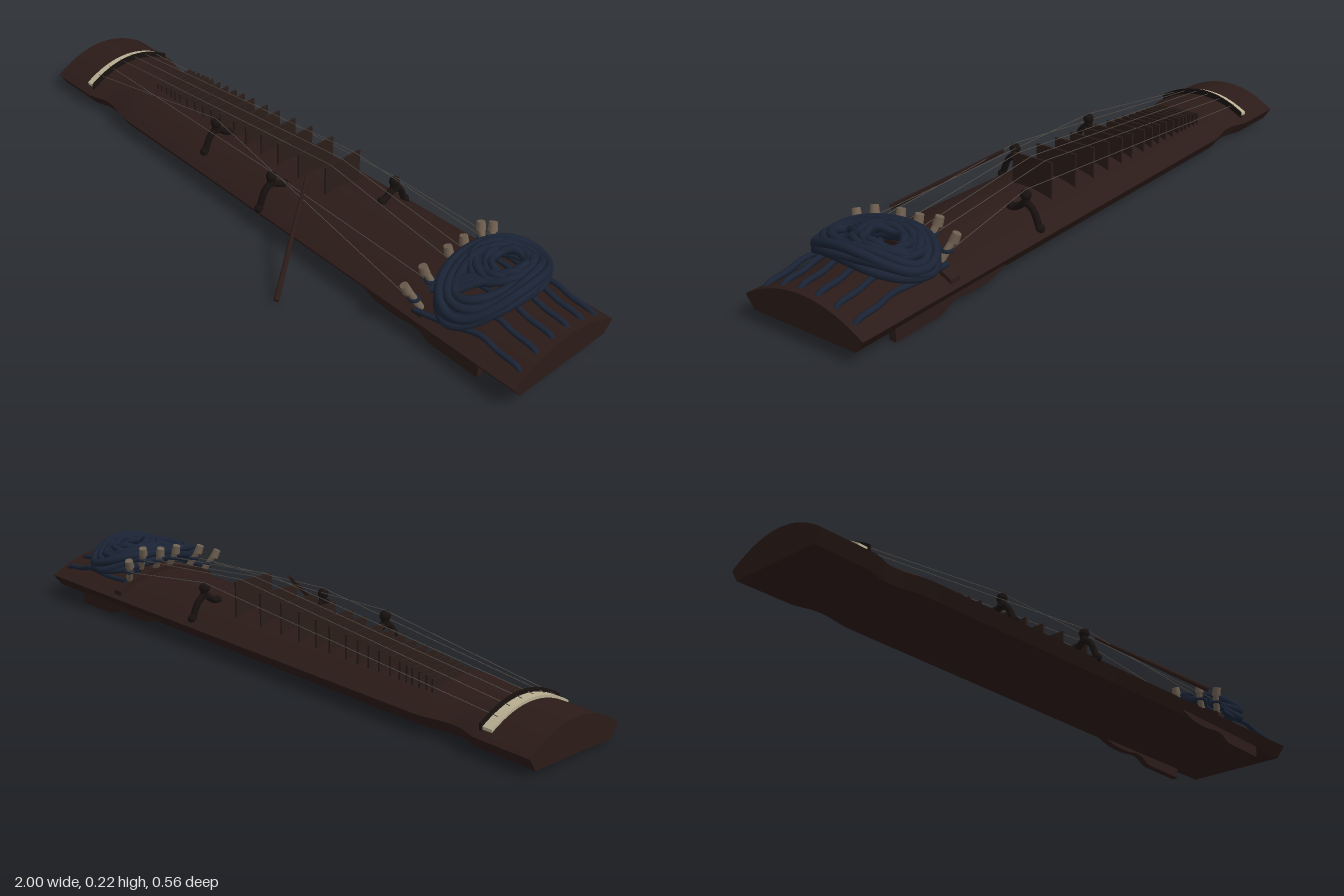
import * as THREE from 'three';
import { toCreasedNormals } from 'three/addons/utils/BufferGeometryUtils.js';

const V = (x, y, z) => new THREE.Vector3(x, y, z);
const paint = (color) => new THREE.MeshStandardMaterial({ color, side: THREE.DoubleSide });
const MAT = {
  wood: paint(0x2b1b18), dark: paint(0x17110f), fret: paint(0x2a1d18),
  ivory: paint(0xb8ae92), peg: paint(0x6e5f50), cord: paint(0x1a2334), string: paint(0x55504a),
};
const CZ = -0.084; // centre line of the soundboard

// Body measures along the length
const baseY = (x) => 0.01 + 0.0125 * (x + 1);
function halfWidth(x) {
  const w = 0.17 + 0.0275 * Math.max(0, (x + 0.64) / 1.64);
  const neck = THREE.MathUtils.smoothstep(x, -0.83, -0.76) * (1 - THREE.MathUtils.smoothstep(x, -0.74, -0.63));
  return w - 0.02 * neck;
}
function domeY(x, z) {
  const t = Math.min(1, Math.abs(z - CZ) / halfWidth(x));
  return baseY(x) + 0.036 + 0.06 * (1 - t * t);
}

// Skin a row of closed cross-sections and cap both ends
function loft(rings) {
  const pos = [];
  const tri = (...p) => p.forEach((v) => pos.push(v.x, v.y, v.z));
  const n = rings[0].length;
  for (let i = 0; i < rings.length - 1; i++) {
    for (let j = 0; j < n; j++) {
      const k = (j + 1) % n;
      const [a, b, c, d] = [rings[i][j], rings[i][k], rings[i + 1][k], rings[i + 1][j]];
      tri(a, d, b);
      tri(b, d, c);
    }
  }
  const cap = (ring, flip) => {
    const c = ring.reduce((s, v) => s.add(v), V(0, 0, 0)).divideScalar(n);
    ring.forEach((v, j) => (flip ? tri(c, ring[(j + 1) % n], v) : tri(c, v, ring[(j + 1) % n])));
  };
  cap(rings[0], false);
  cap(rings[rings.length - 1], true);
  const g = new THREE.BufferGeometry();
  g.setAttribute('position', new THREE.Float32BufferAttribute(pos, 3));
  return toCreasedNormals(g, 0.5);
}

export function createModel() {
  const model = new THREE.Group();
  const add = (name, geo, mat, parent = model) => {
    const m = new THREE.Mesh(geo, mat);
    m.name = name;
    parent.add(m);
    return m;
  };
  const group = (name) => {
    const g = new THREE.Group();
    g.name = name;
    model.add(g);
    return g;
  };
  // Straight round bar between two points
  const rod = (name, a, b, r0, r1, mat, parent, sides = 12) => {
    const m = add(name, new THREE.CylinderGeometry(r1, r0, a.distanceTo(b), sides), mat, parent);
    m.position.copy(a).lerp(b, 0.5);
    m.quaternion.setFromUnitVectors(V(0, 1, 0), b.clone().sub(a).normalize());
    return m;
  };
  const tube = (name, pts, r, mat, parent, closed = false, seg = 48, sides = 8) =>
    add(name, new THREE.TubeGeometry(new THREE.CatmullRomCurve3(pts, closed), seg, r, sides, closed), mat, parent);
  // Outline of [z, y] points given thickness along x
  const slab = (name, pts, x0, depth, mat, parent) => {
    const s = new THREE.Shape(pts.map(([z, y]) => new THREE.Vector2(-z, y)));
    const g = new THREE.ExtrudeGeometry(s, { depth, bevelEnabled: false });
    g.rotateY(Math.PI / 2).translate(x0, 0, 0);
    return add(name, toCreasedNormals(g, 0.5), mat, parent);
  };
  // Strip that follows the dome across the width
  const arch = (name, x0, depth, height, half, mat) => {
    const top = [], under = [];
    for (let i = 0; i <= 16; i++) {
      const z = CZ + half * (1 - i / 8);
      top.push([z, domeY(x0, z) + height]);
      under.unshift([z, domeY(x0, z) - 0.008]);
    }
    return slab(name, [...top, ...under], x0, depth, mat);
  };

  // Long domed body with a pinched neck
  const rings = [];
  for (let i = 0; i <= 80; i++) {
    const x = -1 + i / 40, w = halfWidth(x), y = baseY(x);
    const ring = [V(x, y, CZ + w * 0.86)];
    for (let j = 0; j <= 20; j++) {
      const z = CZ + w * (1 - j / 10);
      ring.push(V(x, domeY(x, z), z));
    }
    ring.push(V(x, y, CZ - w * 0.86));
    rings.push(ring);
  }
  add('body', loft(rings), MAT.wood);

  // Scalloped feet under both edges
  const foot = new THREE.Shape();
  foot.moveTo(0.44, 0.04);
  foot.bezierCurveTo(0.5, 0.02, 0.5, 0.018, 0.56, 0.016);
  foot.bezierCurveTo(0.62, 0.016, 0.61, 0.026, 0.65, 0.022);
  foot.bezierCurveTo(0.69, 0.016, 0.67, 0.001, 0.72, 0.001);
  foot.lineTo(0.865, 0);
  foot.lineTo(0.865, 0.04);
  for (const side of [1, -1]) {
    const g = new THREE.ExtrudeGeometry(foot, { depth: 0.022, bevelEnabled: false });
    add('foot', g.translate(0, 0, CZ + side * 0.16 - 0.011), MAT.wood);
  }

  // Bridges at the two ends of the strings
  arch('endBridge', -0.865, 0.03, 0.008, 0.146, MAT.ivory);
  arch('endBridgeEdge', -0.834, 0.006, 0.018, 0.15, MAT.dark);
  arch('cordBridge', 0.635, 0.035, 0.014, 0.178, MAT.wood);

  // Tall flat frets growing toward the middle
  const frets = group('frets');
  const fretX = [-0.63, -0.61, -0.585, -0.56, -0.54, -0.515, -0.48, -0.44, -0.4, -0.36, -0.315,
    -0.25, -0.195, -0.125, -0.05, 0.04, 0.152];
  const fretTop = (x) => 0.125 + 0.086 * Math.pow((x + 0.63) / 0.782, 0.85);
  for (const x of fretX) {
    const pts = [[-0.05, fretTop(x)], [-0.187, fretTop(x)]];
    for (let i = 0; i <= 6; i++) {
      const z = -0.187 + (0.137 * i) / 6;
      pts.push([z, domeY(x, z) - 0.004]);
    }
    slab('fret', pts, x - 0.003, 0.006, MAT.fret, frets);
  }

  // Forked movable bridges
  const movable = [[-0.28, -0.005, 0.185], [0.025, 0.042, 0.173], [0.285, -0.198, 0.18]];
  for (const [x, z, top] of movable) {
    const g = group('movableBridge');
    for (const s of [1, -1]) {
      const fz = z + s * 0.048;
      tube('leg', [V(x, domeY(x, fz), fz), V(x, (domeY(x, z) + top) / 2 - 0.012, z + s * 0.024),
        V(x, top - 0.035, z)], 0.01, MAT.dark, g, false, 12);
      add('toe', new THREE.SphereGeometry(0.014, 12, 8), MAT.dark, g).position.set(x, domeY(x, fz) + 0.003, fz);
    }
    rod('stem', V(x, top - 0.045, z), V(x, top - 0.01, z), 0.013, 0.011, MAT.dark, g);
    add('head', new THREE.SphereGeometry(0.016, 14, 10), MAT.dark, g).position.set(x, top - 0.015, z);
  }

  // Plucking stick leaning on the front edge
  rod('pluckingStick', V(0.13, 0.195, 0), V(0.31, 0.008, 0.278), 0.005, 0.008, MAT.wood, model);

  // Toggles where each string meets its cord
  const toggles = group('toggles');
  const anchors = [[0.1, 0.155], [0.035, 0.182], [-0.055, 0.198], [-0.115, 0.2], [-0.18, 0.212], [-0.232, 0.182]];
  for (const [z, y] of anchors) {
    const tilt = (z - CZ) * 0.12;
    rod('pin', V(0.655, y - 0.065, z - tilt), V(0.618, y - 0.006, z), 0.011, 0.009, MAT.peg, toggles);
    rod('pinHead', V(0.622, y - 0.016, z), V(0.616, y + 0.008, z + tilt * 0.4), 0.014, 0.012, MAT.peg, toggles);
    const ring = add('pinRing', new THREE.TorusGeometry(0.013, 0.005, 8, 16), MAT.cord, toggles);
    ring.position.set(0.636, y - 0.035, z - tilt / 2);
    ring.rotation.x = Math.PI / 2;
  }

  // Strings over frets and movable bridges
  const strings = group('strings');
  const supports = [movable[0], movable[1], [0.152, -0.07, 0.212], [0.152, -0.115, 0.212],
    [0.152, -0.165, 0.212], movable[2]];
  supports.forEach(([x, z, y], i) => {
    const z0 = CZ + 0.11 - i * 0.044;
    const [az, ay] = anchors[i];
    const path = [V(-0.85, domeY(-0.85, z0) + 0.009, z0), V(x, y + 0.001, z), V(0.635, ay - 0.035, az)];
    for (let k = 0; k < 2; k++) rod('string', path[k], path[k + 1], 0.0011, 0.0011, MAT.string, strings, 5);
  });

  // Bundled cord: large oval hank, a smaller loop on top
  const coil = group('cordBundle');
  const loop = (cx, cz, rx, rz, lift, twist, r) => {
    const pts = [];
    for (let i = 0; i < 20; i++) {
      const a = (i / 20) * Math.PI * 2;
      const x = cx + rx * Math.cos(a), z = cz + rz * Math.sin(a);
      const t = (z - CZ + 0.02) / 0.2;
      const y = 0.118 + 0.055 * (1 - t * t) + lift + 0.007 * Math.sin(3 * a + twist);
      pts.push(V(x, y, z));
    }
    tube('cordLoop', pts, r, MAT.cord, coil, true, 80);
  };
  for (let k = 0; k < 9; k++) {
    const inner = k % 3, layer = Math.floor(k / 3);
    loop(0.752, -0.088, 0.108 - inner * 0.02, 0.178 - inner * 0.022, layer * 0.013 - 0.004, k * 1.3, 0.0125);
  }
  for (let k = 0; k < 5; k++) {
    loop(0.745 + 0.004 * k, -0.13, 0.078 - k * 0.009, 0.098 - k * 0.011, 0.022 + 0.002 * k, k * 2, 0.011);
  }
  // Strand crossing the hank
  for (let k = 0; k < 3; k++) {
    tube('crossStrand', [V(0.66 + k * 0.02, 0.15, 0.06), V(0.72 + k * 0.015, 0.182, -0.02),
      V(0.79 + k * 0.012, 0.198, -0.1), V(0.82 + k * 0.01, 0.175, -0.2)], 0.011, MAT.cord, coil, false, 24);
  }

  // Tail cords from the toggles, under the hank, to the end of the board
  const tails = group('tailCords');
  anchors.forEach(([z], i) => {
    const ze = CZ + 0.15 - i * 0.06;
    const on = (x, zz, h) => V(x, domeY(x, zz) + h, zz);
    tube('tailCord', [on(0.65, z, 0.025), on(0.75, (z + ze) / 2, 0.02), on(0.85, ze, 0.025),
      on(0.9, ze, 0.012), on(0.965, ze, 0.003), on(0.985, ze, -0.012)], 0.008, MAT.cord, tails, false, 32);
  });

  return model;
}
